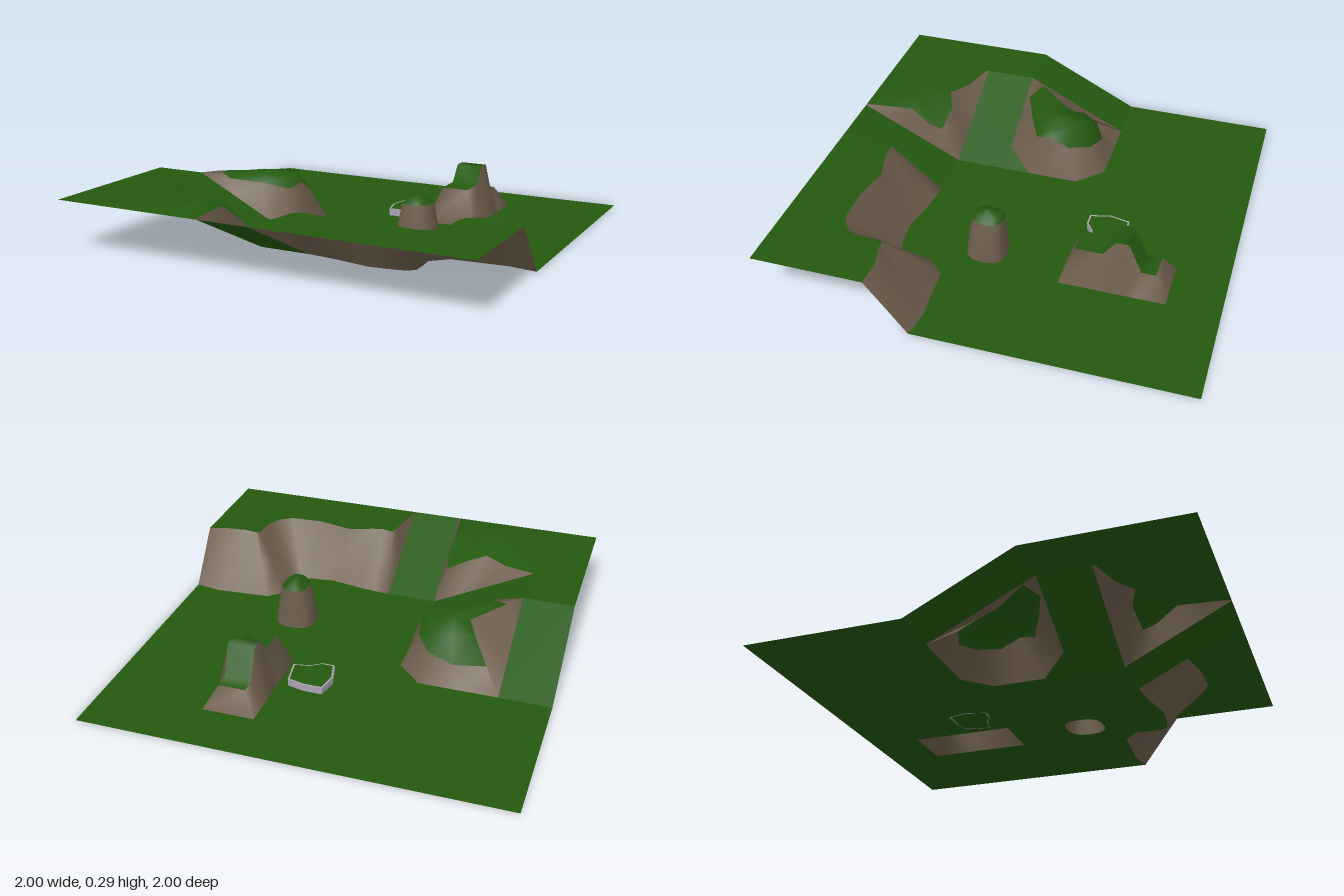
import * as THREE from 'three';

const grass = new THREE.MeshStandardMaterial({ color: 0x24590f, side: THREE.DoubleSide });
const rock = new THREE.MeshStandardMaterial({ color: 0x6e5e4d, side: THREE.DoubleSide });
const stone = new THREE.MeshStandardMaterial({ color: 0xaaa4b2 });

// Skin rows of [x, y, z] points into one surface whose faces look upwards.
function skin(rows, closed = false) {
  const n = rows[0].length, index = [];
  for (let r = 0; r < rows.length - 1; r++) {
    for (let i = 0; i < (closed ? n : n - 1); i++) {
      const a = r * n + i, b = r * n + (i + 1) % n;
      index.push(a, b, a + n, b, b + n, a + n);
    }
  }
  const g = new THREE.BufferGeometry();
  g.setAttribute('position', new THREE.Float32BufferAttribute(rows.flat(2), 3));
  g.setIndex(index);
  g.computeVertexNormals();
  const nor = g.attributes.normal;
  let up = 0;
  for (let i = 0; i < nor.count; i++) up += nor.getY(i);
  if (up < 0) {
    g.setIndex(index.reverse());
    g.computeVertexNormals();
  }
  return g;
}

const mix = (a, b, t) => a.map((v, i) => v + (b[i] - v) * t);
const vec = (pts) => pts.map(([x, z]) => new THREE.Vector2(x, -z));

// Rounded-square ring of points around a centre.
function ring(cx, cz, rx, rz, y, sides = 14) {
  return Array.from({ length: sides }, (_, i) => {
    const a = (i / sides) * Math.PI * 2, c = Math.cos(a), s = Math.sin(a);
    const p = (v) => Math.sign(v) * Math.abs(v) ** 0.75;
    return [cx + rx * p(c), y, cz + rz * p(s)];
  });
}

export function createModel() {
  const model = new THREE.Group();
  const add = (name, geometry, material) => {
    const m = new THREE.Mesh(geometry, material);
    m.name = name;
    model.add(m);
  };

  // Cliff: foot and rim as matching points
  const foot = [
    [0, 0.25, 1], [0, 0.125, 0.75], [0, 0, 0.5], [0.08, 0, 0.507], [0.15, 0, 0.515],
    [0.32, 0, 0.545], [0.42, 0, 0.535], [0.5, 0, 0.52], [0.53, 0, 0.49], [0.53, 0, 0.42],
    [0.525, 0, 0.35], [0.6, 0, 0.28], [0.75, 0, 0.27], [0.87, 0, 0.26], [1, 0, 0.28],
  ];
  const rim = [
    [0, 0.25, 1], [0.04, 0.25, 0.78], [0.05, 0.25, 0.73], [0.1, 0.26, 0.725], [0.15, 0.255, 0.725],
    [0.28, 0.25, 0.69], [0.45, 0.255, 0.72], [0.62, 0.25, 0.72], [0.69, 0.245, 0.68], [0.72, 0.245, 0.62],
    [0.725, 0.25, 0.5], [0.74, 0.255, 0.49], [0.8, 0.265, 0.48], [0.9, 0.272, 0.455], [1, 0.25, 0.47],
  ];
  const middle = foot.map((p, i) => {
    const q = mix(p, rim[i], 0.5);
    if (i > 1 && i < 14) q[1] += 0.012 * Math.sin(i * 1.9);
    return q;
  });
  add('cliffFace', skin([foot, middle, rim]), rock);
  const back = rim.map(([x]) => [x, 0.25, 1]);
  add('clifftopPlateau', skin([rim, rim.map((p, i) => mix([p[0], 0.25, p[2]], back[i], 0.3)), back]), grass);

  // Low meadow, open beneath the ridge and the boulder
  const boulder = [
    ring(0.37, 0.125, 0.1, 0.097, 0), ring(0.37, 0.125, 0.086, 0.085, 0.11),
    ring(0.37, 0.12, 0.066, 0.074, 0.2), ring(0.37, 0.12, 0.042, 0.06, 0.225),
  ];
  const meadow = new THREE.Shape(vec([
    [-1, -1], [1, -1], ...foot.slice(2).reverse().map((p) => [p[0], p[2]]),
    [-0.25, 0.5], [-0.25, 0.12], [-0.25, -0.13], [-0.37, -0.25], [-1, -0.25],
  ]));
  meadow.holes.push(
    new THREE.Path(vec([[0.25, -0.75], [0.5, -0.75], [0.5, -0.25], [0.25, -0.25]])),
    new THREE.Path(vec(boulder[0].map((p) => [p[0], p[2]]))),
  );
  add('meadow', new THREE.ShapeGeometry(meadow).rotateX(-Math.PI / 2), grass);

  // Straight ramps and the high strip: x0, x1, z0, z1 and the four corner heights
  const h = 0.25;
  for (const [name, x0, x1, z0, z1, a, b, c, d] of [
    ['backRamp', -1, -0.75, -0.25, 0.25, 0, 0, h, h],
    ['highStrip', -1, -0.75, 0.25, 1, h, h, h, h],
    ['sideRamp', -0.75, -0.25, 0.25, 0.5, h, 0, h, 0],
    ['frontRamp', -0.25, 0, 0.5, 1, 0, 0, h, h],
  ]) {
    add(name, skin([[[x0, a, z0], [x1, b, z0]], [[x0, c, z1], [x1, d, z1]]]), grass);
  }

  // Outer corner crag: foot, grass line and crown
  const cragFoot = [
    [-0.75, 0, -0.25], [-0.56, 0, -0.25], [-0.37, 0, -0.25], [-0.25, 0, -0.13], [-0.25, 0, 0],
    [-0.25, 0, 0.12], [-0.37, 0.06, 0.25], [-0.56, 0.155, 0.25], [-0.75, 0.25, 0.25],
    [-0.75, 0.16, 0.07], [-0.75, 0.085, -0.08],
  ];
  const cragLine = [
    [-0.68, 0.08, -0.13], [-0.52, 0.1, -0.2], [-0.39, 0.13, -0.17], [-0.32, 0.15, -0.07], [-0.31, 0.2, 0.02],
    [-0.33, 0.18, 0.1], [-0.45, 0.21, 0.16], [-0.6, 0.23, 0.22], [-0.69, 0.25, 0.17],
    [-0.55, 0.235, 0], [-0.6, 0.17, -0.07],
  ];
  const cragCrown = [
    [-0.58, 0.2, -0.08], [-0.5, 0.21, -0.13], [-0.42, 0.235, -0.1], [-0.36, 0.23, -0.04], [-0.34, 0.23, 0.03],
    [-0.36, 0.24, 0.09], [-0.47, 0.25, 0.12], [-0.57, 0.25, 0.14], [-0.59, 0.25, 0.12],
    [-0.53, 0.245, 0.02], [-0.56, 0.21, -0.05],
  ];
  add('cragRock', skin([cragFoot, cragLine], true), rock);
  add('cragGrass', skin([cragLine, cragCrown, cragCrown.map(() => [-0.47, 0.25, 0.02])], true), grass);
  add('cragFootCorner', skin([[[-0.25, 0, 0.12], [-0.25, 0, 0.25]], [[-0.37, 0.06, 0.25], [-0.37, 0.06, 0.25]]]), grass);

  // Inner corner bluff: foot, grass line, hump and the far level edge
  const bluffFoot = [
    [-0.75, 0.25, 0.5], [-0.62, 0.185, 0.5], [-0.5, 0.125, 0.5], [-0.38, 0.065, 0.5], [-0.25, 0, 0.5],
    [-0.25, 0.06, 0.62], [-0.25, 0.125, 0.75], [-0.25, 0.185, 0.87], [-0.25, 0.25, 1],
  ];
  const bluffLine = [
    [-0.75, 0.25, 0.51], [-0.6, 0.24, 0.56], [-0.49, 0.25, 0.62], [-0.39, 0.22, 0.58], [-0.29, 0.15, 0.6],
    [-0.275, 0.18, 0.66], [-0.285, 0.25, 0.76], [-0.275, 0.25, 0.87], [-0.26, 0.25, 1],
  ];
  const bluffHump = [
    [-0.75, 0.25, 0.57], [-0.6, 0.265, 0.68], [-0.5, 0.28, 0.74], [-0.44, 0.29, 0.75], [-0.38, 0.27, 0.7],
    [-0.36, 0.275, 0.74], [-0.36, 0.28, 0.79], [-0.35, 0.265, 0.87], [-0.31, 0.25, 1],
  ];
  const bluffEdge = [
    [-0.75, 0.25, 0.6], [-0.75, 0.25, 0.75], [-0.75, 0.25, 0.9], [-0.75, 0.25, 1], [-0.62, 0.25, 1],
    [-0.54, 0.25, 1], [-0.46, 0.25, 1], [-0.4, 0.25, 1], [-0.34, 0.25, 1],
  ];
  add('bluffRock', skin([bluffFoot, bluffLine]), rock);
  add('bluffGrass', skin([bluffLine, bluffHump, bluffEdge]), grass);

  // Stepped ridge
  const steps = [[-0.31, 0.17], [-0.44, 0.17], [-0.5, 0.25], [-0.56, 0.25], [-0.62, 0.105], [-0.69, 0.105]];
  const edge = (x) => steps.map(([z, y]) => [x, y, z]);
  const base = (x) => steps.map(([z], i) => [x, 0, i === 0 ? -0.25 : i === 5 ? -0.75 : z]);
  add('ridgeRock', skin([
    [...base(0.25), ...base(0.5).reverse()], [...edge(0.31), ...edge(0.44).reverse()],
  ], true), rock);
  add('ridgeGrass', skin([edge(0.31), edge(0.44)]), grass);

  // Boulder with a grassy cap
  add('boulderRock', skin(boulder.slice(0, 3), true), rock);
  add('boulderGrass', skin([boulder[2], boulder[3], boulder[3].map(() => [0.37, 0.243, 0.125])], true), grass);

  // Thin stone curb around a small plot
  const plot = [[0.025, -0.475], [0.12, -0.475], [0.2, -0.455], [0.22, -0.33], [0.14, -0.315], [0.09, -0.28], [0.03, -0.28], [0.005, -0.38]];
  const curb = new THREE.Shape(vec(plot));
  curb.holes.push(new THREE.Path(vec(plot.map((p) => mix(p, [0.11, -0.38], 0.08)))));
  add('stoneCurb', new THREE.ExtrudeGeometry(curb, { depth: 0.035, bevelEnabled: false }).rotateX(-Math.PI / 2), stone);

  return model;
}
